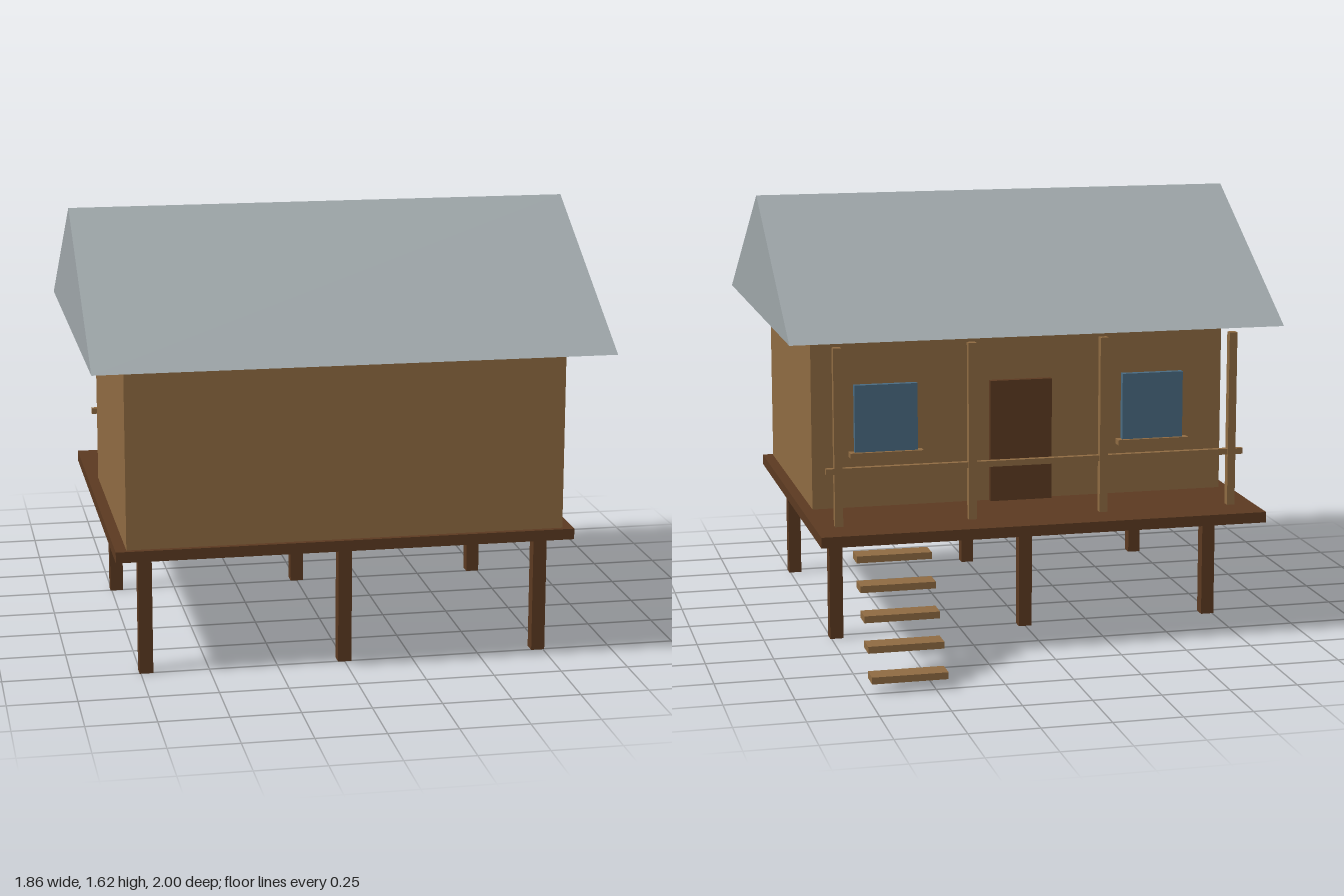
import * as THREE from 'three';

const paint = (name, color) => {
  const m = new THREE.MeshStandardMaterial({ color });
  m.name = name;
  return m;
};

export function createModel() {
  const house = new THREE.Group();
  house.name = 'stiltHouse';

  const darkWood = paint('dark wood', 0x5c3a21);
  const wood = paint('light wood', 0x8f6b42);
  const roofGrey = paint('roof grey', 0x9ea6a9);
  const glass = paint('window blue', 0x4a6b82);

  // Box given by its extents on each axis
  const box = (name, material, [x0, x1], [y0, y1], [z0, z1]) => {
    const mesh = new THREE.Mesh(new THREE.BoxGeometry(x1 - x0, y1 - y0, z1 - z0), material);
    mesh.position.set((x0 + x1) / 2, (y0 + y1) / 2, (z0 + z1) / 2);
    mesh.name = name;
    house.add(mesh);
  };
  const around = (c, size) => [c - size / 2, c + size / 2];

  // Stilts and platform
  for (const x of [-0.73, 0, 0.73])
    for (const z of [-0.27, 0.73])
      box('stilt', darkWood, around(x, 0.05), [0, 0.44], around(z, 0.05));
  box('platform', darkWood, [-0.84, 0.84], [0.44, 0.48], [-0.64, 0.82]);

  // Cabin
  box('walls', wood, [-0.8, 0.8], [0.48, 1.17], [-0.2, 0.8]);

  // Gable roof: triangle in the z-y plane, extruded along x
  const gable = new THREE.Shape([
    new THREE.Vector2(-1, 1.165),
    new THREE.Vector2(0.545, 1.165),
    new THREE.Vector2(-0.225, 1.62),
  ]);
  const roofGeometry = new THREE.ExtrudeGeometry(gable, { depth: 1.86, bevelEnabled: false });
  roofGeometry.translate(0, 0, -0.93).rotateY(Math.PI / 2);
  const roof = new THREE.Mesh(roofGeometry, roofGrey);
  roof.name = 'roof';
  house.add(roof);

  // Door and windows on the porch side
  box('door', darkWood, around(0, 0.24), [0.48, 0.945], [-0.225, -0.2]);
  for (const x of [-0.52, 0.52]) {
    box('window', glass, around(x, 0.24), [0.69, 0.95], [-0.225, -0.2]);
    box('windowSill', wood, around(x, 0.28), [0.675, 0.695], [-0.24, -0.2]);
  }

  // Porch posts and handrail
  for (const x of [-0.75, -0.25, 0.25, 0.75])
    box('porchPost', wood, around(x, 0.03), [0.48, 1.14], around(-0.48, 0.03));
  box('handrail', wood, [-0.795, 0.795], around(0.685, 0.022), around(-0.48, 0.022));

  // Floating steps
  for (let i = 0; i < 5; i++)
    box('step', wood, [0.455, 0.728], around(0.413 - i * 0.0915, 0.025), around(-0.685 - i * 0.0688, 0.08));

  return house;
}
